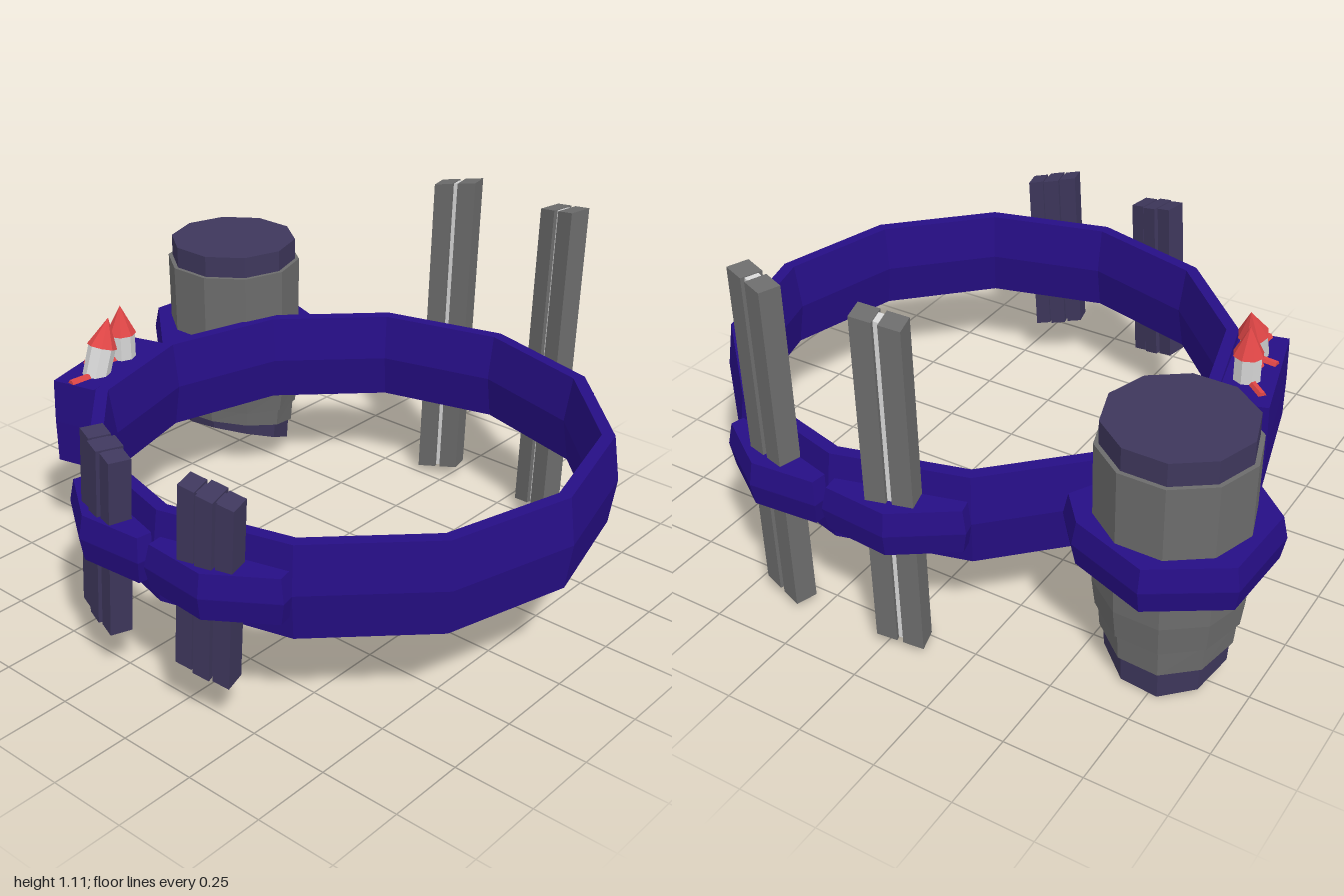
import * as THREE from 'three';

const mat = (name, color) => Object.assign(new THREE.MeshStandardMaterial({ color }), { name });

export function createModel() {
  const model = new THREE.Group();
  model.name = 'utilityBelt';
  const purple = mat('beltPurple', 0x260e85);
  const slate = mat('darkSlate', 0x3e375c);
  const grey = mat('metalGrey', 0x6c6c6c);
  const white = mat('paleGrey', 0xd6d6d6);
  const red = mat('red', 0xdf4646);
  const CX = 0.177, CZ = -0.02, MID = 0.457;

  // Adds a mesh with faceted normals
  const add = (name, geometry, material, parent = model) => {
    const g = geometry.index ? geometry.toNonIndexed() : geometry;
    g.computeVertexNormals();
    const mesh = new THREE.Mesh(g, material);
    mesh.name = name;
    parent.add(mesh);
    return mesh;
  };

  // Horizontal plate from an x/z outline, widest at mid height
  const plate = (points, height, bulge, holes = []) => {
    const toV = ([x, z]) => new THREE.Vector2(x, z);
    const shape = new THREE.Shape(points.map(toV));
    shape.holes = holes.map((h) => new THREE.Path(h.map(toV)));
    const g = new THREE.ExtrudeGeometry(shape, {
      depth: 0.002, bevelEnabled: true, bevelSegments: 1,
      bevelThickness: height / 2, bevelSize: bulge, bevelOffset: -bulge,
    });
    return g.rotateX(Math.PI / 2).translate(0, MID, 0);
  };

  // Belt ring, twelve sides
  const profile = [[0.737, 0.455], [0.76, 0.312], [0.8, 0.312], [0.82, 0.457], [0.8, 0.602], [0.76, 0.602], [0.737, 0.455]];
  add('belt', new THREE.LatheGeometry(profile.map(([r, y]) => new THREE.Vector2(r, y)), 12).translate(CX, 0, CZ), purple);

  // Four loops, mirrored front to back and side to side
  const loop = [[0.003, -0.78], [0.012, -0.865], [0.232, -0.882], [0.42, -0.752], [0.405, -0.69], [0.2, -0.745]];
  for (const sx of [-1, 1]) for (const sz of [-1, 1]) {
    add('loop', plate(loop.map(([x, z]) => [CX + sx * x, CZ - sz * z]), 0.14, 0.012), purple);
  }

  // Upright bar, turned to its belt side and sheared
  const bar = (name, [w, h, d], offset, place, material) => {
    const { x, y, z, turn, slope, lean } = place;
    const shear = new THREE.Matrix4().set(1, lean, 0, 0, slope, 1, 0, 0, 0, 0, 1, 0, 0, 0, 0, 1);
    const g = new THREE.BoxGeometry(w, h, d).translate(offset, 0, 0).rotateY(turn);
    add(name, g.applyMatrix4(shear).translate(x, y, z), material);
  };
  for (const s of [-1, 1]) {
    const turn = s * Math.PI / 12;
    const front = { x: CX - 0.002 + s * 0.204, y: 0.457, z: 0.783, turn, slope: -0.25, lean: 0.06 };
    bar('frontBarCore', [0.165, 0.555, 0.05], 0, front, slate);
    for (const o of [-0.058, 0, 0.058]) bar('frontBarStrip', [0.05, 0.565, o ? 0.07 : 0.085], o, front, slate);

    const back = { x: CX + s * 0.207, y: 0.567, z: -0.81, turn: -turn, slope: 0.18, lean: 0.024 };
    bar('backBarCore', [0.03, 1.055, 0.045], 0, back, white);
    for (const o of [-0.04, 0.04]) bar('backBarRail', [0.062, 1.06, 0.072], o, back, grey);
  }

  // Canister holder with a small gap beside the belt
  add('canisterHolder', plate(
    [[-0.76, -0.75], [-0.51, -0.66], [-0.42, -0.55], [-0.5, -0.4], [-0.6, -0.2], [-0.636, -0.016], [-1, -0.33], [-0.985, -0.605]],
    0.14, 0.013, [[[-0.645, -0.24], [-0.585, -0.22], [-0.58, -0.28]]]), purple);

  // Canister sections; each end is [height, radius, tilt]
  const section = (name, [yt, rt, st], [yb, rb, sb], material) => {
    const g = new THREE.CylinderGeometry(rt, rb, 1, 10).rotateY(Math.PI / 2);
    const p = g.attributes.position;
    for (let i = 0; i < p.count; i++) {
      const top = p.getY(i) > 0;
      p.setY(i, (top ? yt : yb) + (top ? st : sb) * (p.getZ(i) + 0.25 * p.getX(i)));
    }
    add(name, g.translate(-0.72, 0, -0.457), material);
  };
  section('canisterLid', [0.83, 0.217, 0], [0.74, 0.217, 0], slate);
  section('canisterBody', [0.758, 0.231, 0], [0.3, 0.226, 0.06], grey);
  section('canisterTaper', [0.3, 0.226, 0.06], [0.22, 0.215, 0.14], grey);
  section('canisterCollar', [0.225, 0.207, 0.14], [0.15, 0.2, 0.25], grey);
  section('canisterBase', [0.155, 0.19, 0.27], [0.087, 0.185, 0.43], slate);

  // Side pouch
  add('pouch', plate([[-0.62, -0.016], [-0.636, -0.016], [-0.778, 0.027], [-0.672, 0.422], [-0.52, 0.385]], 0.28, 0.002), purple);

  // Sticks with red tips, aligned from foot to tip
  const stick = (foot, shoulder, tip) => {
    const [a, b, c] = [foot, shoulder, tip].map((v) => new THREE.Vector3(...v));
    const group = new THREE.Group();
    group.name = 'tippedStick';
    group.position.copy(a);
    group.quaternion.setFromUnitVectors(new THREE.Vector3(0, 1, 0), c.clone().sub(a).normalize());
    const body = a.distanceTo(b), point = b.distanceTo(c);
    add('stickBody', new THREE.CylinderGeometry(0.044, 0.044, body, 8).translate(0, body / 2, 0), white, group);
    add('stickTip', new THREE.ConeGeometry(0.049, point, 8).translate(0, body + point / 2, 0), red, group);
    model.add(group);
  };
  stick([-0.65, 0.5, 0.145], [-0.65, 0.68, 0.145], [-0.65, 0.775, 0.145]);
  stick([-0.612, 0.5, 0.325], [-0.612, 0.68, 0.262], [-0.612, 0.77, 0.23]);

  // Small red pegs on the pouch top, given by position and heading
  for (const [x, z, turn] of [[-0.705, 0.1, 0.7], [-0.65, 0.2, -1.4], [-0.665, 0.26, 0.1], [-0.608, 0.365, -1.5]]) {
    add('peg', new THREE.CylinderGeometry(0.013, 0.013, 0.07, 6).rotateZ(Math.PI / 2).rotateY(-turn).translate(x, 0.597, z), red);
  }
  return model;
}
